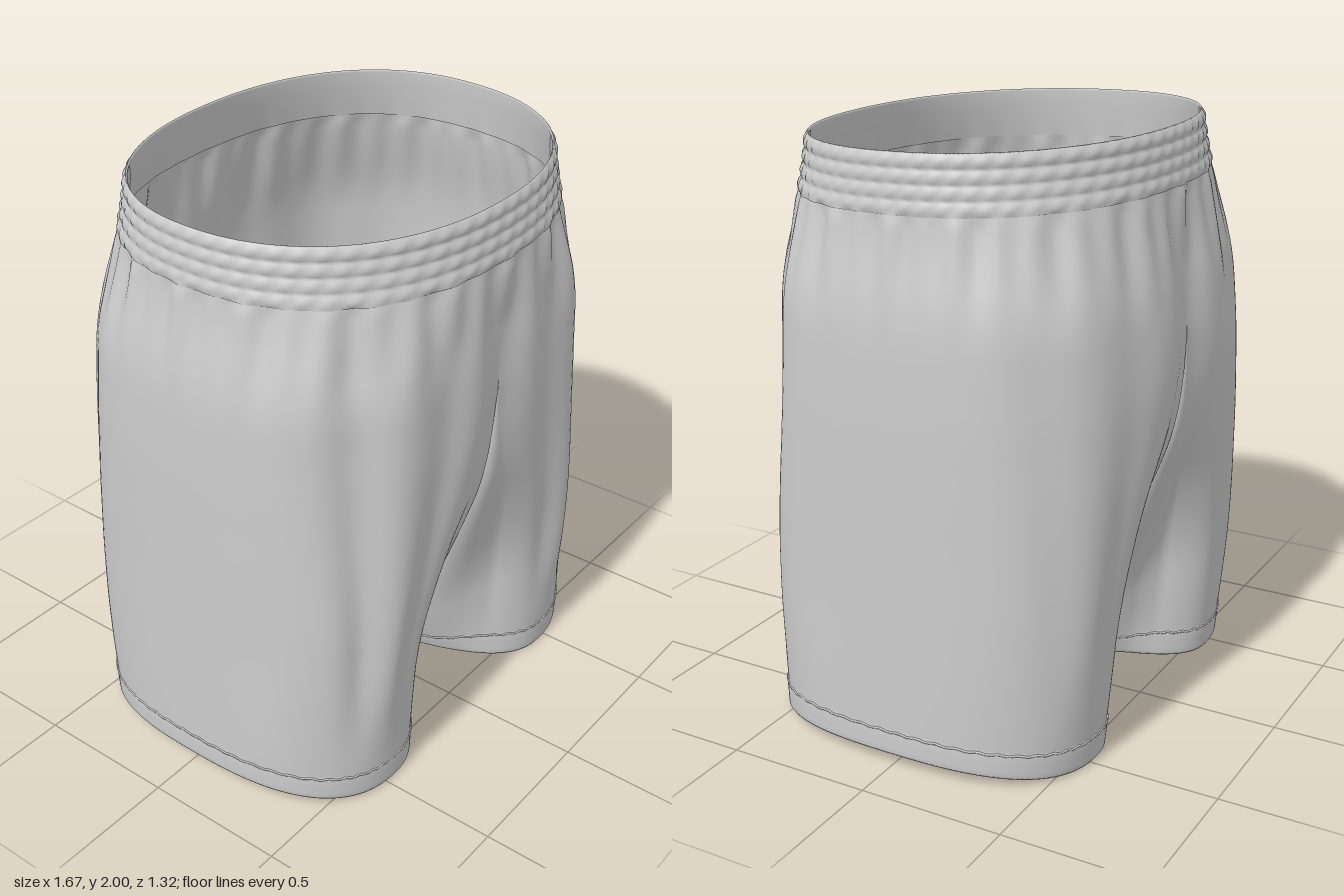
import * as THREE from 'three';
import { mergeGeometries, mergeVertices } from 'three/addons/utils/BufferGeometryUtils.js';

const { lerp, smoothstep, clamp } = THREE.MathUtils;
const HALF = Math.PI / 2;
const SPLIT = 1.4;          // height where the legs begin to part
const CROTCH = 0.68;        // lowest point of the crotch seam
const WRAP = 2.18;          // leg angle at which the centre seam meets the leg
const TOP = 1.84;           // top of the cloth, under the waistband
const OUTER = 120, INNER = 48;

const material = new THREE.MeshStandardMaterial({ color: 0xcccccc, side: THREE.DoubleSide });

// half width, front depth and back depth at every quarter unit of height
const profile = new THREE.CatmullRomCurve3([
  [0.83, 0.588, 0.555], [0.83, 0.602, 0.582], [0.828, 0.62, 0.606], [0.826, 0.642, 0.632],
  [0.825, 0.658, 0.658], [0.822, 0.668, 0.67], [0.808, 0.664, 0.65], [0.765, 0.647, 0.603],
  [0.738, 0.612, 0.558],
].map(p => new THREE.Vector3(...p)), false, 'catmullrom', 0.5);

const bump = (a, centre, width) => Math.exp(-(((a - centre) / width) ** 2));

// hanging folds and the gathers below the waistband
function folds(phi, y) {
  const hang = smoothstep(y, 0.1, 0.6) * (1 - smoothstep(y, 1.55, 1.84));
  const window = 1 - Math.sin(phi) ** 16;
  const long = -0.035 * bump(phi, 1.24, 0.11) - 0.032 * bump(phi, 0.82, 0.1) + 0.012 * bump(phi, 1.03, 0.1)
    - 0.02 * bump(phi, -1.12, 0.13) - 0.012 * bump(phi, -0.7, 0.12) - 0.008 * bump(phi, 0.35, 0.1);
  const gather = smoothstep(y, 1.4, 1.76) * (1 - smoothstep(y, 1.78, 1.84));
  return hang * window * long + gather * (0.007 * Math.cos(phi * 36) + 0.005 * Math.cos(phi * 20));
}

// rounded outline of radius rx, rz at an angle
function oval(a, rx, rz, n) {
  const c = Math.cos(a), s = Math.sin(a);
  const r = (Math.abs(c) ** n + Math.abs(s) ** n) ** (-1 / n);
  return [rx * r * c, rz * r * s];
}

// point on the hips: phi = 0 is the side, +90 degrees the front centre
function torso(phi, y, offset = 0) {
  const p = profile.getPoint(y / 2);
  const n = lerp(2.8, 2.2, smoothstep(y, 1.4, 1.95));
  const [x, z] = oval(phi, p.x, Math.sin(phi) > 0 ? p.y : p.z, n);
  const d = offset + folds(phi, y);
  const cleft = 0.035 * bump(x, 0, 0.1) * smoothstep(y, 0.9, 1.3) * (1 - smoothstep(y, 1.55, 1.84));
  const pz = z + d * Math.sin(phi) - Math.sign(z) * cleft;
  const slope = 0.03 * smoothstep(y, SPLIT, 1.85) * clamp((pz + 0.56) / 1.17, 0, 1);
  return new THREE.Vector3(x + d * Math.cos(phi), y - slope, pz);
}

// point on a leg: w = 0 at the split and crotch seam, w = 1 at the hem
function leg(theta, w, offset = 0) {
  const away = smoothstep(w, 0, 0.75);
  let start, y, part = away, d = offset;
  if (theta <= WRAP + 1e-6) {
    const phi = clamp(theta / WRAP, -1, 1) * HALF;
    y = SPLIT * (1 - w);
    start = torso(phi, y);
    d += part * folds(phi, y);
  } else {
    // the crotch seam hangs as a U; the thighs stay close together below it
    const v = (theta - WRAP) / (2 * Math.PI - 2 * WRAP) * Math.PI;
    const deep = Math.max(0, Math.sin(v));
    y = (SPLIT - (SPLIT - CROTCH) * deep ** 1.15) * (1 - w);
    const front = torso(HALF, y).z, back = torso(-HALF, y).z;
    start = new THREE.Vector3(0, 0, lerp(back, front, (Math.cos(v) + 1) / 2));
    part = lerp(away, w ** 2.6, deep);
  }
  const p = profile.getPoint(y / 2);
  const inner = 0.09, c = Math.cos(theta), s = Math.sin(theta);
  // the inner thigh is more pointed, most of all at the back
  const n = c > 0 ? 2.25 + 0.35 * c : 2.25 + (s > 0 ? 0.3 : 0.7) * Math.max(c * 1.4, -1);
  const [ox, oz] = oval(theta, (p.x - inner) / 2, s > 0 ? p.y : p.z, n);
  const x = lerp(start.x, ox + (p.x + inner) / 2, part) + d * c;
  const z = lerp(start.z, oz, part) + d * s;
  const lift = 0.042 * w ** 6 * ((x - 0.46) / 0.37) ** 2;
  return new THREE.Vector3(x, y + lift, z);
}

// skin a grid of points, rows running downwards; side = -1 mirrors it
function skin(rows, side = 1) {
  const cols = rows[0].length, pos = [], index = [];
  for (const row of rows) for (const p of row) pos.push(p.x * side, p.y, p.z);
  for (let r = 0; r < rows.length - 1; r++) {
    for (let c = 0; c < cols - 1; c++) {
      const a = r * cols + c, b = a + 1, d = a + cols, e = d + 1;
      if (side > 0) index.push(a, b, d, b, e, d);
      else index.push(a, d, b, b, d, e);
    }
  }
  const g = new THREE.BufferGeometry();
  g.setAttribute('position', new THREE.Float32BufferAttribute(pos, 3));
  g.setIndex(index);
  return g;
}

function smooth(...parts) {
  const g = mergeVertices(mergeGeometries(parts), 1e-4);
  g.computeVertexNormals();
  return g;
}

const steps = (n, fn) => Array.from({ length: n + 1 }, (_, i) => fn(i / n));

// angles once round the leg, outer cloth first and then the inner thigh
const legAngles = [
  ...steps(OUTER, t => lerp(-WRAP, WRAP, t)),
  ...steps(INNER, t => lerp(WRAP, 2 * Math.PI - WRAP, t)).slice(1),
];
const legRow = (w, offset) => legAngles.map(a => leg(a, w, offset));

export function createModel() {
  const group = new THREE.Group();
  group.name = 'shorts';
  const add = (geometry, name) => {
    const mesh = new THREE.Mesh(geometry, material);
    mesh.name = name;
    group.add(mesh);
  };

  // hips and both legs as one continuous cloth
  const hips = steps(22, t => steps(OUTER, u => torso(lerp(-HALF, HALF, u), lerp(TOP, SPLIT, t))));
  const legs = steps(54, t => legRow(t, 0));
  add(smooth(skin(hips), skin(hips, -1), skin(legs), skin(legs, -1)), 'cloth');

  // elastic waistband: four puckered ridges outside, plain lining inside
  const ring = (y, offset, pucker) => steps(288, u => {
    const a = u * 2 * Math.PI;
    const phi = Math.cos(a) >= 0 ? Math.asin(Math.sin(a)) : Math.PI - Math.asin(Math.sin(a));
    return torso(phi, y, offset + pucker * Math.cos(a * 60 + y * 40));
  });
  const lining = steps(3, t => ring(lerp(1.825, 1.992, t), -0.005, 0));
  const ridges = steps(32, t => {
    const r = Math.abs(Math.sin(t * 4 * Math.PI));
    return ring(lerp(1.997, 1.815, t), 0.003 + 0.007 * r * (1 - 0.3 * t), 0.003 * r);
  });
  add(smooth(skin([...lining, ring(2, 0, 0), ...ridges])), 'waistband');

  for (const side of [1, -1]) {
    const name = side > 0 ? 'left' : 'right';
    // turned-up hem, folded inwards
    const hem = [
      ...[0.925, 0.94, 0.96, 0.98, 0.995].map((w, i) => legRow(w, i ? 0.004 : 0.001)),
      legRow(1, 0), ...[0.99, 0.96, 0.93].map(w => legRow(w, -0.006)),
    ];
    add(smooth(skin(hem, side)), name + 'Hem');

    // line of stitching above the hem
    const path = legAngles.slice(0, -1).map((a, i) => {
      const p = leg(a, 0.932 + 0.002 * Math.sin(i * 1.9), 0.002);
      p.x *= side;
      return p;
    });
    add(new THREE.TubeGeometry(new THREE.CatmullRomCurve3(path, true), 300, 0.004, 5, true), name + 'HemStitching');
  }
  return group;
}
